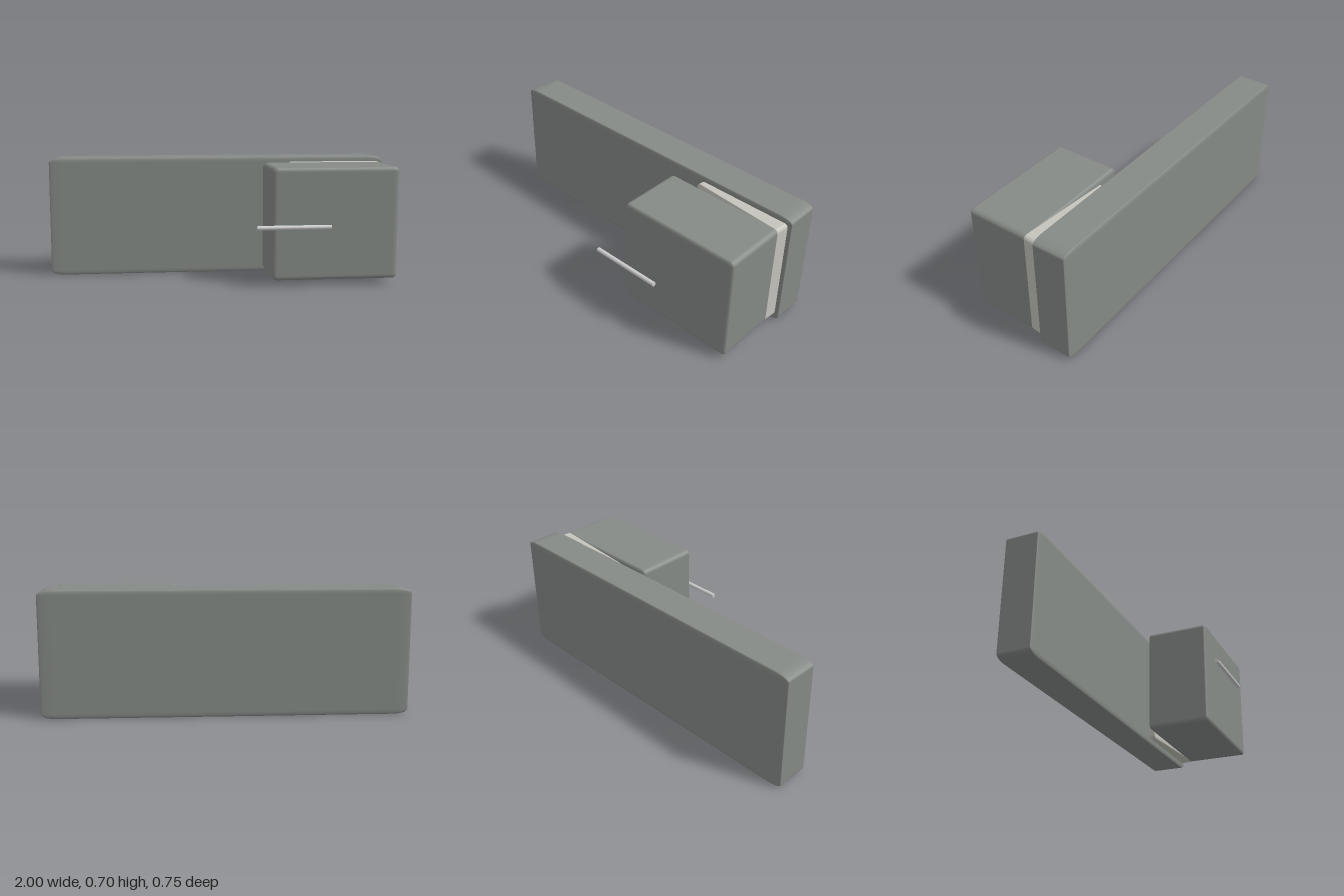
import * as THREE from 'three';
import { RoundedBoxGeometry } from 'three/addons/geometries/RoundedBoxGeometry.js';

// Unit box with softened edges, stretched to size so the rounding stretches with it
function softBox(name, size, position, color) {
  const geometry = new RoundedBoxGeometry(1, 1, 1, 4, 0.04);
  geometry.scale(...size);
  const mesh = new THREE.Mesh(geometry, new THREE.MeshStandardMaterial({ color }));
  mesh.name = name;
  mesh.position.set(...position);
  return mesh;
}

export function createModel() {
  const model = new THREE.Group();
  const dark = 0x858a86;
  const midY = 0.348;

  // Long upright slab at the back
  model.add(softBox('backSlab', [2, 0.696, 0.2], [0, midY, -0.273], dark));

  // Block standing in front of the slab's left end
  model.add(softBox('frontBlock', [0.714, 0.633, 0.377], [0.613, 0.349, 0.0735], dark));

  // Slightly turned plate between slab and block
  const plate = softBox('tiltedPlate', [0.56, 0.633, 0.1], [0.696, 0.349, -0.167], 0xc4c3bb);
  plate.rotation.y = -0.08;
  model.add(plate);

  // Thin horizontal rod floating in front
  const rod = new THREE.Mesh(
    new THREE.CylinderGeometry(0.0125, 0.0125, 0.41, 32),
    new THREE.MeshStandardMaterial({ color: 0xcccccc })
  );
  rod.name = 'frontRod';
  rod.rotation.z = Math.PI / 2;
  rod.position.set(0.357, 0.349, 0.361);
  model.add(rod);

  return model;
}
